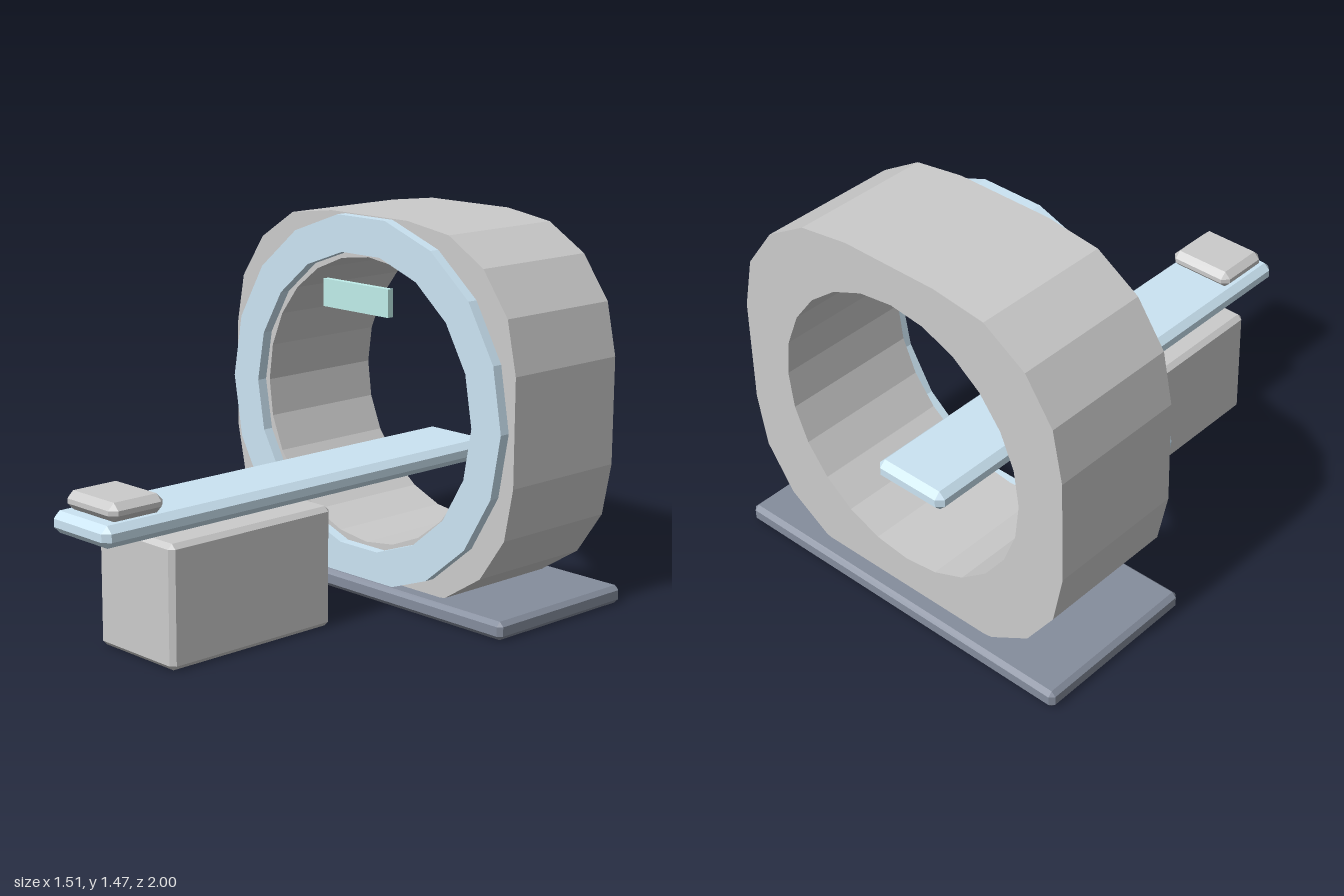
import * as THREE from 'three';
import { ConvexGeometry } from 'three/addons/geometries/ConvexGeometry.js';

const material = (color) => new THREE.MeshStandardMaterial({ color, flatShading: true });

// Box with every edge cut by a flat chamfer c; ranges are [min, max]
function chamferBox([x0, x1], [y0, y1], [z0, z1], c) {
  const centre = [(x0 + x1) / 2, (y0 + y1) / 2, (z0 + z1) / 2];
  const half = [(x1 - x0) / 2, (y1 - y0) / 2, (z1 - z0) / 2];
  const points = [];
  for (const sx of [-1, 1]) for (const sy of [-1, 1]) for (const sz of [-1, 1]) {
    const sign = [sx, sy, sz];
    for (let full = 0; full < 3; full++) {
      const p = half.map((h, i) => centre[i] + sign[i] * (i === full ? h : h - c));
      points.push(new THREE.Vector3(...p));
    }
  }
  return new ConvexGeometry(points);
}

// Regular polygon outline with a corner on the +x axis
function polygon(radius, sides) {
  return Array.from({ length: sides }, (_, i) => {
    const a = (i / sides) * Math.PI * 2;
    return new THREE.Vector2(Math.cos(a) * radius, Math.sin(a) * radius);
  });
}

// Outline with a hole, extruded from z0 to z1 around the bore axis
function ringGeometry(outline, hole, z0, z1) {
  const shape = new THREE.Shape(outline);
  shape.holes.push(new THREE.Path(hole));
  return new THREE.ExtrudeGeometry(shape, { depth: z1 - z0, bevelEnabled: false })
    .translate(0, 0.755, z0);
}

export function createModel() {
  const model = new THREE.Group();
  model.name = 'scanner';
  const grey = material(0xcccccc);
  const blue = material(0xcbe4f3);
  const dark = material(0x858d9d);
  const teal = material(0xc0eeea);

  const add = (name, geometry, mat) => {
    const mesh = new THREE.Mesh(geometry, mat);
    mesh.name = name;
    model.add(mesh);
  };

  // Floor plate
  add('basePlate', chamferBox([-0.755, 0.755], [0, 0.07], [-1, -0.315], 0.017), dark);

  // Rounded-square housing: half of the outline, repeated by a half turn
  const halfOutline = [
    [0.2, 0.71], [0.409, 0.679], [0.58, 0.577], [0.7, 0.412], [0.744, 0.21],
    [0.744, -0.2], [0.706, -0.402], [0.592, -0.57], [0.418, -0.682], [0.2, -0.71],
  ];
  const outline = [1, -1].flatMap((s) => halfOutline.map(([x, y]) => new THREE.Vector2(s * x, s * y)));
  add('gantryHousing', ringGeometry(outline, polygon(0.553, 24), -0.93, -0.38), grey);

  // Trim ring on the front of the housing
  add('frontRing', ringGeometry(polygon(0.717, 18), polygon(0.575, 18), -0.38, -0.338), blue);

  // Display panel above the bore opening
  add('displayPanel', new THREE.BoxGeometry(0.346, 0.106, 0.026).translate(0, 1.162, -0.325), teal);

  // Patient table with pedestal and pillow
  add('pedestal', chamferBox([-0.205, 0.205], [0, 0.457], [0, 0.757], 0.018), grey);
  add('tableTop', chamferBox([-0.158, 0.158], [0.475, 0.555], [-0.905, 1], 0.025), blue);
  add('pillow', chamferBox([-0.138, 0.138], [0.555, 0.623], [0.718, 0.954], 0.025), grey);

  return model;
}
